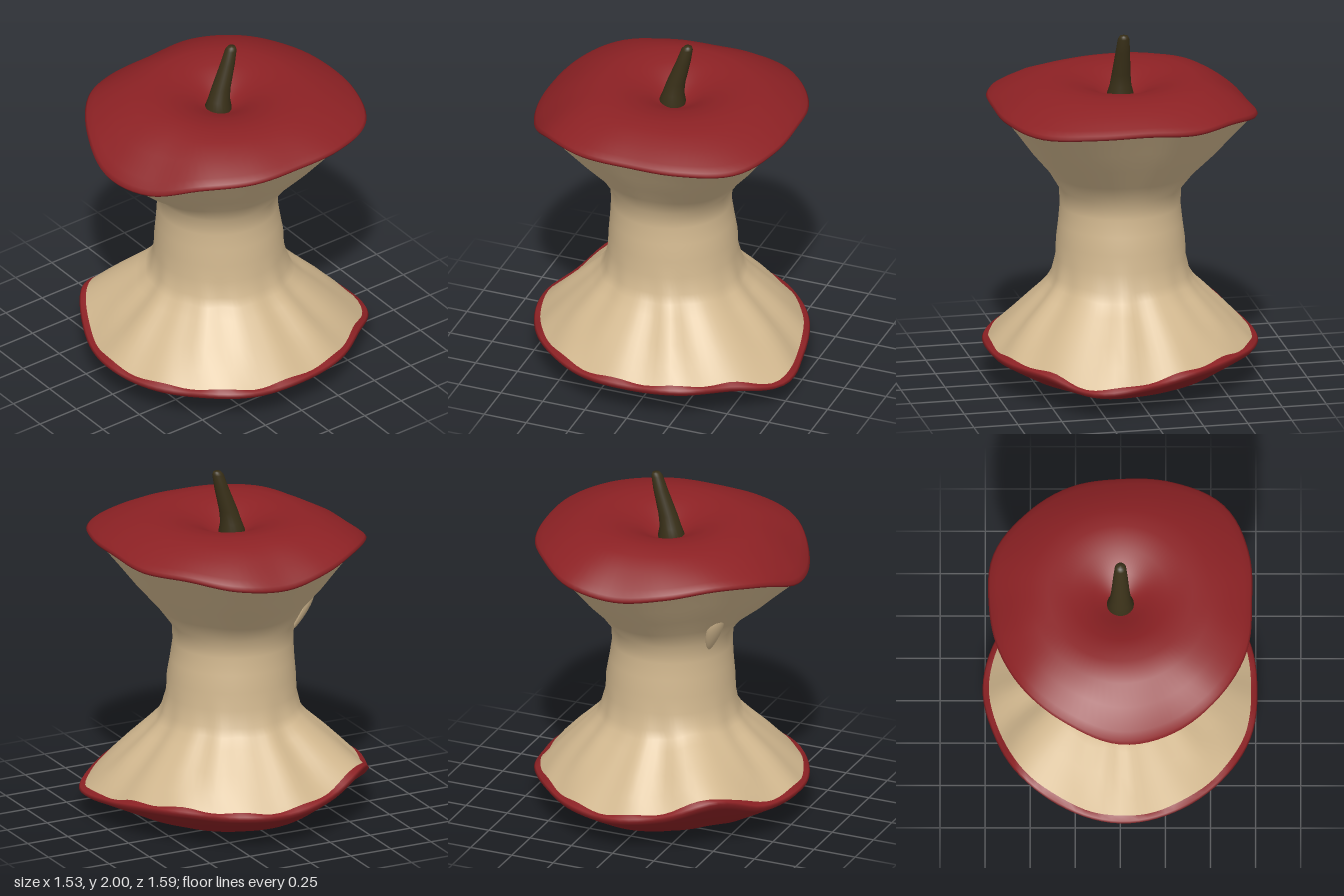
import * as THREE from 'three';

const SEG = 96;

// Rim radius and height every 22.5 degrees, from +z round towards +x
const TOP_R = [.80, .79, .78, .76, .73, .77, .81, .76, .72, .735, .74, .765, .73, .73, .75, .77];
const TOP_Y = [1.49, 1.49, 1.585, 1.605, 1.61, 1.61, 1.60, 1.615, 1.62, 1.60, 1.60, 1.56, 1.53, 1.57, 1.61, 1.575];
const BOT_R = [.80, .79, .785, .78, .76, .77, .77, .83, .76, .74, .73, .75, .765, .76, .79, .78];
const BOT_Y = [.21, .20, .21, .20, .20, .20, .19, .14, .16, .20, .21, .20, .20, .24, .32, .22];

// Smooth periodic lookup in a rim table
function sample(table, a) {
  const n = table.length, u = a / (Math.PI * 2) * n, i = Math.floor(u), t = u - i;
  const p = k => table[(i + k + n) % n];
  return p(0) + .5 * t * (p(1) - p(-1) + t * (2 * p(-1) - 5 * p(0) + 4 * p(1) - p(2) + t * (3 * (p(0) - p(1)) + p(2) - p(-1))));
}

const mix = THREE.MathUtils.lerp;

// Closed rings, ordered from top to bottom; each ring maps an angle to [radius, y, zOffset]
function loft(rings, seg = SEG) {
  const pos = [], idx = [];
  rings.forEach((ring, i) => {
    for (let j = 0; j < seg; j++) {
      const a = j / seg * Math.PI * 2;
      const [r, y, z = 0] = ring(a);
      pos.push(Math.sin(a) * r, y, Math.cos(a) * r + z);
      if (i === 0) continue;
      const k = (j + 1) % seg, up = (i - 1) * seg, lo = i * seg;
      idx.push(up + j, lo + j, lo + k, up + j, lo + k, up + k);
    }
  });
  const g = new THREE.BufferGeometry();
  g.setAttribute('position', new THREE.Float32BufferAttribute(pos, 3));
  g.setIndex(idx);
  g.computeVertexNormals();
  return g;
}

const fixed = (r, y, z = 0) => () => [r, y, z];
const topRim = a => [sample(TOP_R, a), sample(TOP_Y, a)];
const botRim = a => [sample(BOT_R, a), sample(BOT_Y, a)];
const topLip = a => { const [r, y] = topRim(a); return [r - .03, y - .012]; };
const botLip = a => { const [r, y] = botRim(a); return [r - .035, y + .024 + .008 * Math.cos(13 * a)]; };

// Ring part of the way from a fixed circle to a rim
const towards = (rim, r0, y0, fr, fy, z = 0, ripple = 0) => a => {
  const [r, y] = rim(a);
  return [mix(r0, r, fr) + ripple * (Math.sin(11 * a) + .6 * Math.sin(17 * a + 1)), mix(y0, y, fy), z];
};

export function createModel() {
  const group = new THREE.Group();
  const skin = new THREE.MeshStandardMaterial({ color: 0x8c2124 });
  const flesh = new THREE.MeshStandardMaterial({ color: 0xd2b88f });
  const wood = new THREE.MeshStandardMaterial({ color: 0x393018 });
  const add = (name, geometry, material) => {
    const mesh = new THREE.Mesh(geometry, material);
    mesh.name = name;
    group.add(mesh);
    return mesh;
  };

  // Upper cap of skin with the dimple around the stem
  add('topSkin', loft([
    fixed(0, 1.61), fixed(.07, 1.625), fixed(.15, 1.675), fixed(.27, 1.725), fixed(.4, 1.742),
    towards(topRim, .4, 1.742, .3, .13),
    towards(topRim, .4, 1.742, .6, .38),
    towards(topRim, .4, 1.742, .87, .74),
    towards(topRim, .4, 1.742, .97, .9),
    topRim,
    a => { const [r, y] = topRim(a); return [r - .008, y - .014]; },
    topLip
  ]), skin);

  // Bitten flesh: flared top, narrow waist, rippled lower cone
  add('flesh', loft([
    topLip,
    towards(topLip, .345, 1.1, .72, .73, .005),
    towards(topLip, .345, 1.1, .47, .48, .01),
    towards(topLip, .345, 1.1, .17, .22, .015),
    fixed(.34, 1.1, .03), fixed(.335, 1.0, .03), fixed(.345, .9, .025), fixed(.358, .8, .02), fixed(.362, .7, .02),
    towards(botLip, .362, .7, .06, .2, .015, .003),
    towards(botLip, .362, .7, .13, .3, .015, .005),
    towards(botLip, .362, .7, .27, .42, .01, .008),
    towards(botLip, .362, .7, .56, .64, .005, .009),
    towards(botLip, .362, .7, .8, .83, 0, .005),
    botLip
  ]), flesh);

  // Lower cap of skin with the dimple underneath
  add('bottomSkin', loft([
    botLip,
    a => { const [r, y] = botRim(a); return [r - .008, y + .014]; },
    botRim,
    towards(botRim, .4, .005, .94, .87),
    towards(botRim, .4, .005, .7, .6),
    towards(botRim, .4, .005, .38, .26),
    fixed(.4, .006), fixed(.3, 0), fixed(.2, .025), fixed(.1, .075), fixed(0, .09)
  ]), skin);

  // Small nub in the bottom dimple
  const nub = add('bottomNub', new THREE.SphereGeometry(.035, 16, 10), skin);
  nub.position.y = .075;

  // Stem leaning backwards
  add('stem', loft([
    fixed(0, 2, -.07), fixed(.022, 1.998, -.068), fixed(.032, 1.98, -.063), fixed(.04, 1.9, -.042),
    fixed(.052, 1.76, .002), fixed(.06, 1.69, .018), fixed(.075, 1.635, .024), fixed(.07, 1.6, .024)
  ], 24), wood);

  // Loose flake of flesh on the front of the neck, tapering downwards
  const flakeShape = new THREE.SphereGeometry(1, 20, 14);
  const p = flakeShape.attributes.position;
  for (let i = 0; i < p.count; i++) {
    const taper = .8 + .3 * p.getY(i);
    p.setXYZ(i, p.getX(i) * .065 * taper, p.getY(i) * .145, p.getZ(i) * .045 * taper);
  }
  flakeShape.computeVertexNormals();
  const flake = add('fleshFlake', flakeShape, flesh);
  flake.position.set(-.19, 1.19, .365);
  flake.rotation.set(.42, -.4, .25);

  return group;
}
